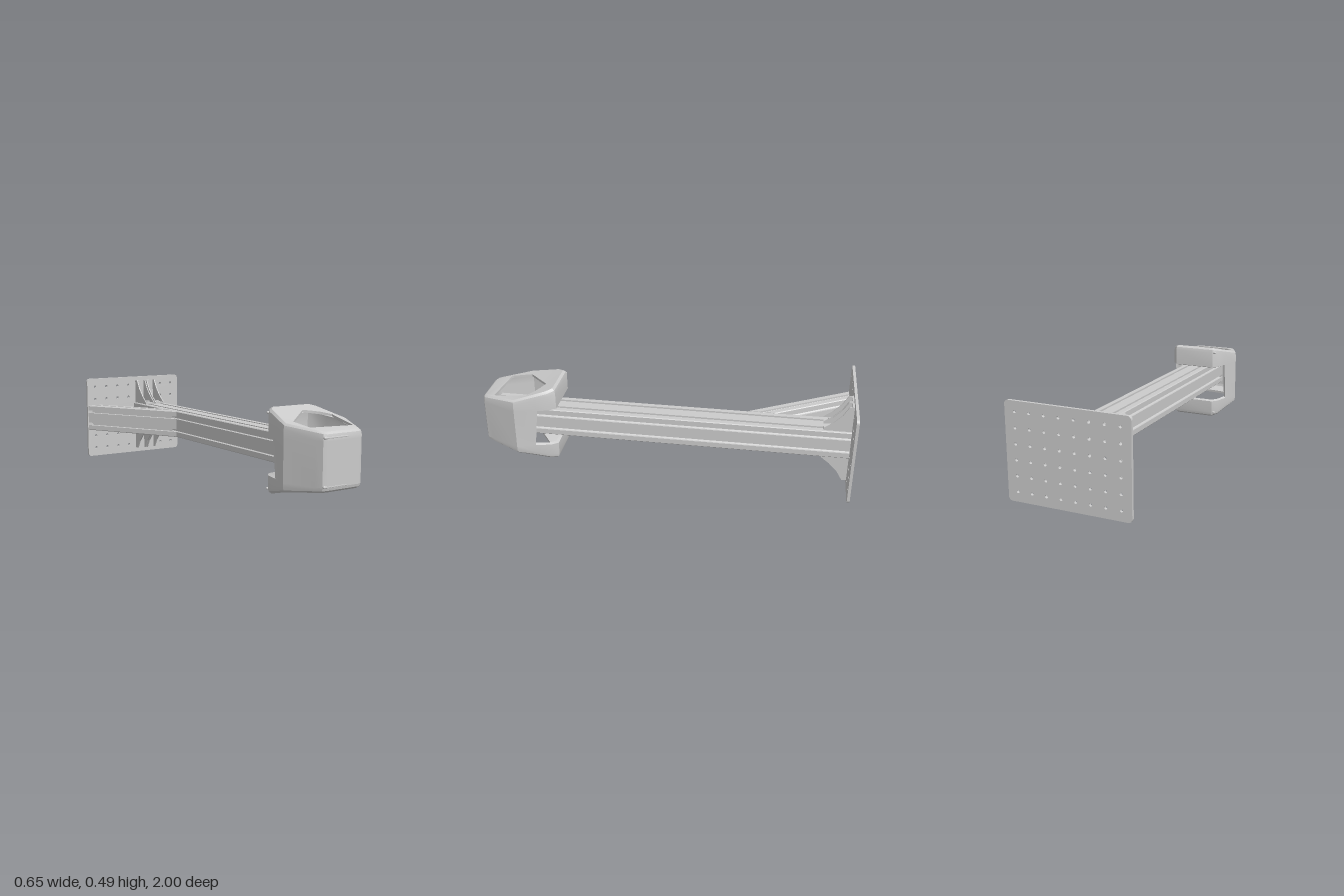
import * as THREE from 'three';
import { toCreasedNormals } from 'three/addons/utils/BufferGeometryUtils.js';

const CELL = 0.0775, CY = 0.247, BEAM_X = 0.0775, PLATE_Z = -0.985;
const material = new THREE.MeshStandardMaterial({ color: 0xcccccc });
const thinMaterial = new THREE.MeshStandardMaterial({ color: 0xcccccc, side: THREE.DoubleSide });

function add(parent, name, geometry, x = 0, y = 0, z = 0, mat = material) {
  const mesh = new THREE.Mesh(geometry, mat);
  mesh.name = name;
  mesh.position.set(x, y, z);
  parent.add(mesh);
  return mesh;
}

function circleHole(x, y, r) {
  return new THREE.Path().absarc(x, y, r, 0, Math.PI * 2, true);
}

// Slotted aluminium profile, nx by ny cells, centred on the origin
function slotProfile(nx, ny) {
  const w = nx * CELL, h = ny * CELL, pts = [];
  const slot = [[-0.008, 0], [-0.008, 0.009], [-0.0185, 0.009], [-0.0185, 0.012], [-0.008, 0.023],
    [0.008, 0.023], [0.0185, 0.012], [0.0185, 0.009], [0.008, 0.009], [0.008, 0]];
  const sides = [[-w / 2, -h / 2, 1, 0, nx], [w / 2, -h / 2, 0, 1, ny],
    [w / 2, h / 2, -1, 0, nx], [-w / 2, h / 2, 0, -1, ny]];
  for (const [x, y, dx, dy, n] of sides) {
    const at = (s, d) => pts.push(new THREE.Vector2(x + dx * s - dy * d, y + dy * s + dx * d));
    at(0.004, 0);
    for (let i = 0; i < n; i++) for (const [s, d] of slot) at((i + 0.5) * CELL + s, d);
    at(n * CELL - 0.004, 0);
  }
  const shape = new THREE.Shape(pts);
  for (let i = 0; i < nx; i++) for (let j = 0; j < ny; j++)
    shape.holes.push(circleHole((i + 0.5) * CELL - w / 2, (j + 0.5) * CELL - h / 2, 0.0075));
  return shape;
}

const extrude = (shape, depth) =>
  new THREE.ExtrudeGeometry(shape, { depth, bevelEnabled: false, curveSegments: 8 });

// Rounded wall plate with a grid of holes
function wallPlate() {
  const w = 0.325, h = 0.246, r = 0.02, s = new THREE.Shape();
  s.absarc(w - r, h - r, r, 0, Math.PI / 2);
  s.absarc(-w + r, h - r, r, Math.PI / 2, Math.PI);
  s.absarc(-w + r, -h + r, r, Math.PI, Math.PI * 1.5);
  s.absarc(w - r, -h + r, r, Math.PI * 1.5, Math.PI * 2);
  for (let i = 0; i < 8; i++) for (let j = 0; j < 6; j++)
    s.holes.push(circleHole((i - 3.5) * 0.0777, (j - 2.5) * 0.0777, 0.008));
  return extrude(s, 0.015);
}

// Diagonal brace, mitred against the plate and the beam side
function braceGeometry() {
  const g = extrude(slotProfile(1, 2), 1), p = g.attributes.position;
  const c = Math.cos(Math.PI / 6), s = 0.5;
  for (let i = 0; i < p.count; i++) {
    const u = p.getX(i), start = u * s / c, end = (0.275 - c * u) / s;
    const t = start + (end - start) * p.getZ(i);
    p.setXYZ(i, -0.275 + c * u + s * t, CY + p.getY(i), PLATE_Z - s * u + c * t);
  }
  return toCreasedNormals(g, 0.5);
}

// Corner bracket with two curved gussets and bolts, its corner at the origin
function cornerBracket() {
  const group = new THREE.Group();
  const w = 0.0615, t = 0.006;
  group.name = 'cornerBracket';
  const shape = new THREE.Shape([[0, 0], [0.145, 0], [0.145, 0.011], [0.1, 0.045], [0.055, 0.092],
    [0.025, 0.143], [0, 0.143]].map(([a, b]) => new THREE.Vector2(a, b)));
  const gusset = extrude(shape, t).rotateY(-Math.PI / 2);
  for (const x of [-w / 2 + t, w / 2]) add(group, 'gusset', gusset, x, 0, 0);
  add(group, 'bracketBase', new THREE.BoxGeometry(w, 0.009, 0.145), 0, 0.0045, 0.0725);
  add(group, 'bracketBack', new THREE.BoxGeometry(w, 0.143, 0.009), 0, 0.0715, 0.0045);
  const bolt = new THREE.CylinderGeometry(0.012, 0.012, 0.01, 16);
  for (const d of [0.055, 0.11]) {
    add(group, 'boltHead', bolt, 0, 0.013, d);
    add(group, 'boltHead', bolt, 0, d, 0.013).rotation.x = Math.PI / 2;
  }
  return group;
}

// Faceted hood: a belt of cross-sections, open above, below and where the beam enters
function hoodGeometry() {
  const cx = 0.0515, cz = 0.8;
  // wall x, wall z, opening x, opening z
  const stations = [
    [0.095, 1.0, 0.112, 0.93], [0.115, 0.99, 0.114, 0.928], [0.13, 0.955, 0.117, 0.92],
    [0.193, 0.8, 0.145, 0.745], [0.164, 0.69, 0.11, 0.705], [0.147, 0.62, 0.07, 0.68],
    [0.12, 0.585, 0.03, 0.66], [-0.12, 0.585, 0.0, 0.684], [-0.147, 0.62, -0.05, 0.725],
    [-0.164, 0.69, -0.09, 0.757], [-0.193, 0.8, -0.13, 0.79], [-0.13, 0.955, -0.12, 0.9],
    [-0.115, 0.99, -0.117, 0.904], [-0.095, 1.0, -0.115, 0.905]];
  const roof = z => z > 0.8 ? 0.41 - (z - 0.8) * 0.115 : 0.41 + (0.8 - z) * 0.24;
  const sections = stations.map(([x, z, ox, oz]) => {
    const top = roof(z), slant = Math.abs(z - 0.69) < 0.01 ? 0.012 : 0;
    const upper = [[ox, roof(oz), oz - cz], [x * 0.93, top, (z - cz) * 0.92],
      [x * 0.985, top - 0.01, (z - cz) * 0.98], [x, top - 0.027, z - cz], [x, 0.345, z - cz - slant]];
    const lower = upper.map(([a, b, c]) => [a, 2 * CY - b, c]).reverse();
    lower[0] = [x, 0.13, z - cz + slant];
    const outer = [...upper, ...lower];
    const inner = outer.map(([a, b, c], j) => j % 9 === 0
      ? [a, b - Math.sign(b - CY) * 0.013, c]
      : [a * 0.93, CY + (b - CY) * 0.94, c * 0.93]);
    const place = ([a, b, c]) => [cx + a, b, cz + c];
    return { outer: outer.map(place), inner: inner.map(place) };
  });
  const pos = [];
  const quad = (a, b, c, d) => pos.push(...a, ...b, ...c, ...a, ...c, ...d);
  const loop = (s, from, to) => [...s.outer.slice(from, to + 1), ...s.inner.slice(from, to + 1).reverse()];
  sections.forEach((s, i) => {
    const next = sections[(i + 1) % sections.length];
    const open = i >= 4 && i < 9;
    for (const [from, to] of open ? [[0, 4], [5, 9]] : [[0, 9]]) {
      const a = loop(s, from, to), b = loop(next, from, to);
      a.forEach((_, j) => {
        const k = (j + 1) % a.length;
        quad(a[j], a[k], b[k], b[j]);
      });
    }
    // side panel ends beside the rear opening
    if (i === 4) quad(s.outer[4], s.outer[5], s.inner[5], s.inner[4]);
    if (i === 9) quad(s.inner[4], s.inner[5], s.outer[5], s.outer[4]);
  });
  const g = new THREE.BufferGeometry();
  g.setAttribute('position', new THREE.Float32BufferAttribute(pos, 3));
  return toCreasedNormals(g, 0.55);
}

export function createModel() {
  const model = new THREE.Group();
  model.name = 'wallMountedArm';

  add(model, 'wallPlate', wallPlate(), 0, 0.246, -1);
  add(model, 'beam', toCreasedNormals(extrude(slotProfile(2, 2), 1.93), 0.5), BEAM_X, CY, PLATE_Z);
  add(model, 'diagonalBrace', braceGeometry());

  // Brackets above the beam, repeated upside down below it
  for (const turn of [0, Math.PI]) {
    const pair = new THREE.Group();
    pair.name = turn ? 'lowerBrackets' : 'upperBrackets';
    pair.position.set(BEAM_X, CY, PLATE_Z);
    pair.rotation.z = turn;
    for (const x of [-0.034, 0.034]) {
      const bracket = cornerBracket();
      bracket.position.set(x, CELL, 0);
      pair.add(bracket);
    }
    model.add(pair);
  }

  // Hood with raised ribs along its front and rear edges
  add(model, 'hood', hoodGeometry(), 0, 0, 0, thinMaterial);
  const rib = new THREE.CapsuleGeometry(0.007, 0.13, 4, 10).rotateZ(Math.PI / 2);
  for (const side of [-1, 1]) {
    add(model, 'frontRib', rib, 0.008, CY + side * 0.113, 0.994);
    add(model, 'rearRib', rib, -0.015, CY + side * 0.188, 0.594);
  }
  return model;
}
